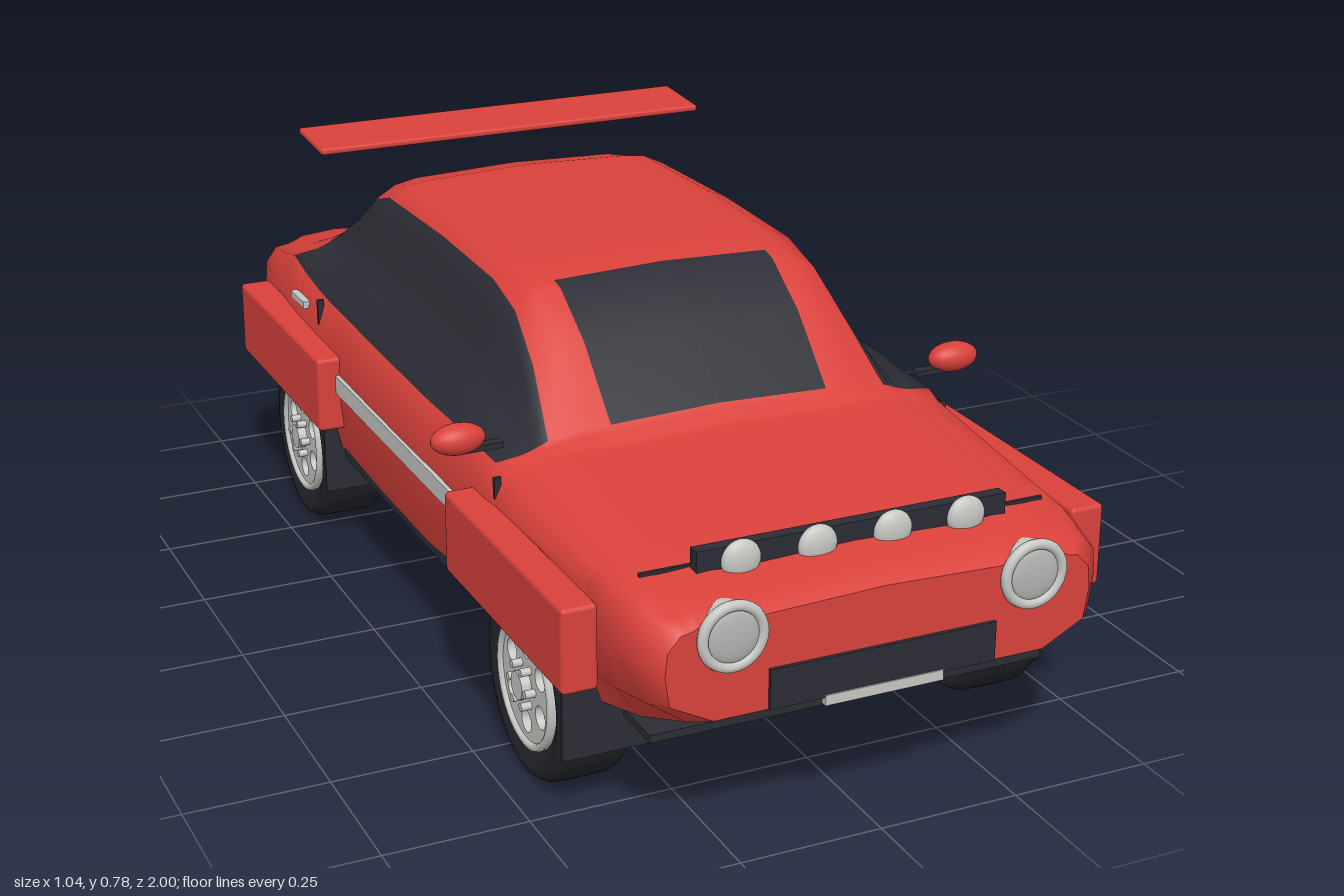
import * as THREE from 'three';
import { RoundedBoxGeometry } from 'three/addons/geometries/RoundedBoxGeometry.js';

const mat = (name, color, side = THREE.FrontSide) => {
  const m = new THREE.MeshStandardMaterial({ color, side });
  m.name = name;
  return m;
};

// Body stations: z, top y, half width, window base y, window top y
const KEYS = [
  [0.985, 0.420, 0.375, 0.405, 0.413],
  [0.960, 0.438, 0.400, 0.422, 0.431],
  [0.880, 0.454, 0.415, 0.436, 0.447],
  [0.450, 0.490, 0.435, 0.466, 0.484],
  [0.410, 0.515, 0.440, 0.475, 0.497],
  [0.300, 0.625, 0.442, 0.477, 0.590],
  [0.200, 0.690, 0.445, 0.480, 0.655],
  [0.100, 0.713, 0.447, 0.480, 0.682],
  [-0.15, 0.718, 0.447, 0.483, 0.688],
  [-0.44, 0.712, 0.445, 0.487, 0.680],
  [-0.52, 0.695, 0.443, 0.490, 0.655],
  [-0.61, 0.640, 0.440, 0.497, 0.588],
  [-0.69, 0.577, 0.435, 0.505, 0.535],
  [-0.75, 0.528, 0.430, 0.490, 0.510],
  [-0.82, 0.492, 0.420, 0.472, 0.484],
  [-0.92, 0.477, 0.405, 0.450, 0.467],
  [-0.955, 0.452, 0.385, 0.425, 0.440],
];
const WHEEL_Z = [0.606, -0.568], WHEEL_Y = 0.166, ARCH = 0.186;
const { lerp, clamp, smoothstep } = THREE.MathUtils;

function sample(z) {
  let i = 0;
  while (i < KEYS.length - 2 && z < KEYS[i + 1][0]) i++;
  const t = (KEYS[i][0] - z) / (KEYS[i][0] - KEYS[i + 1][0]);
  return KEYS[i].map((v, k) => lerp(v, KEYS[i + 1][k], t));
}

// Right half of a cross-section, from sill to roof centre
function halfSection(z) {
  const [, yt, w, ys, yg] = sample(z);
  const end = clamp((Math.abs(z) - 0.7) / 0.28, 0, 1) ** 2;
  const wb = w - 0.022 - 0.06 * end;
  let yb = 0.206 + 0.044 * end;
  for (const wz of WHEEL_Z) {
    const d = Math.abs(z - wz);
    if (d < ARCH) yb = Math.max(yb, WHEEL_Y + Math.sqrt(ARCH * ARCH - d * d));
  }
  const belt = Math.min(0.42, ys - 0.025);
  const xs = w - 0.026, xg = lerp(0.32, 0.29, smoothstep(yt, 0.5, 0.7));
  const glass = (a, b) => [lerp(xs, xg, a), lerp(ys, yg, b)];
  return [[wb, yb], [w - 0.008, lerp(yb, belt, 0.3)], [w, lerp(yb, belt, 0.7)], [w - 0.004, belt],
    [xs, ys], glass(0.46, 0.23), glass(0.69, 0.5), glass(0.86, 0.8), [xg, yg],
    [0.25, lerp(yg, yt, 0.6)], [0.205, yt - 0.007], [0, yt]];
}

function ring(z) {
  const h = halfSection(z);
  return [...h, ...h.slice(0, -1).reverse().map(([x, y]) => [-x, y])];
}

// Skin rings into a surface; pick(z, j) gives the material index of a cell
function skin(zs, rings, pick) {
  const n = rings[0].length, pos = [], cells = [[], []];
  rings.forEach((r, i) => r.forEach(([x, y]) => pos.push(x, y, zs[i])));
  for (let i = 0; i < zs.length - 1; i++) for (let j = 0; j < n - 1; j++) {
    const a = i * n + j, c = a + n;
    cells[pick((zs[i] + zs[i + 1]) / 2, j)].push(a, c, a + 1, a + 1, c, c + 1);
  }
  const g = new THREE.BufferGeometry();
  g.setAttribute('position', new THREE.Float32BufferAttribute(pos, 3));
  g.setIndex([...cells[0], ...cells[1]]);
  g.addGroup(0, cells[0].length, 0);
  g.addGroup(cells[0].length, cells[1].length, 1);
  g.computeVertexNormals();
  return g;
}

export function createModel() {
  const red = mat('red paint', 0xd9413b, THREE.DoubleSide);
  const dark = mat('dark trim', 0x2c2d35, THREE.DoubleSide);
  const rubber = mat('tyre rubber', 0x24252b);
  const silver = mat('silver', 0xc6c6c3);
  const lens = mat('lamp lens', 0xb4b4b2);
  const car = new THREE.Group();
  car.name = 'rallyCar';
  const add = (name, geo, m, x = 0, y = 0, z = 0, parent = car) => {
    const o = new THREE.Mesh(geo, m);
    o.name = name;
    o.position.set(x, y, z);
    parent.add(o);
    return o;
  };
  const box = (name, m, w, h, d, x, y, z) => add(name, new THREE.BoxGeometry(w, h, d), m, x, y, z);

  // Body shell with windows, wheel arches cut through the floor
  const extra = [0.17, -0.56];
  for (const wz of WHEEL_Z) for (let k = 0; k <= 14; k++) extra.push(wz + 0.1815 * Math.cos(k * Math.PI / 14));
  const zs = [...new Set([...KEYS.map(k => k[0]), ...extra])].sort((a, b) => b - a);
  const rings = zs.map(ring);
  add('bodyShell', skin(zs, rings, (z, j) => {
    const k = Math.min(j, 21 - j);
    const side = k >= 4 && k <= 7 && z < 0.41 && z > -0.69;
    const screen = k === 10 && ((z < 0.41 && z > 0.17) || (z < -0.56 && z > -0.75));
    return side || screen ? 1 : 0;
  }), [red, dark]);
  add('underside', skin(zs, rings.map(r => [r[22], r[0]]), () => 1), [red, dark]);
  const cap = z => new THREE.ShapeGeometry(new THREE.Shape(ring(z).map(p => new THREE.Vector2(...p))));
  add('nosePanel', cap(0.985), red, 0, 0, 0.985);
  add('tailPanel', cap(-0.955), red, 0, 0, -0.955).rotation.y = Math.PI;

  // Front details
  box('grille', dark, 0.4, 0.068, 0.009, 0, 0.286, 0.987);
  box('frontPlate', silver, 0.21, 0.018, 0.012, 0, 0.248, 0.988);
  box('splitter', dark, 0.71, 0.014, 0.1, 0, 0.185, 0.84);
  box('lampBar', dark, 0.55, 0.05, 0.022, 0, 0.46, 0.872);
  box('bonnetGap', dark, 0.72, 0.006, 0.006, 0, 0.452, 0.857);
  for (const x of [-0.2, -0.067, 0.067, 0.2]) {
    const lamp = add('spotLamp', new THREE.SphereGeometry(0.034, 24, 16), silver, x, 0.46, 0.885);
    lamp.scale.z = 0.45;
  }
  for (const s of [-1, 1]) {
    const shell = add('headlampHousing', new THREE.CylinderGeometry(0.052, 0.045, 0.05, 32), silver, s * 0.265, 0.39, 0.967);
    shell.rotation.x = Math.PI / 2;
    add('headlampRing', new THREE.TorusGeometry(0.051, 0.009, 10, 36), silver, s * 0.265, 0.39, 0.99);
    const glass = add('headlampLens', new THREE.SphereGeometry(0.045, 28, 16), lens, s * 0.265, 0.39, 0.99);
    glass.scale.z = 0.2;
  }

  // Rear details
  const wing = add('rearWing', new RoundedBoxGeometry(0.8, 0.013, 0.142, 2, 0.005), red, 0, 0.768, -0.58);
  wing.rotation.x = 0.06;
  box('rearPlate', silver, 0.21, 0.06, 0.008, 0, 0.31, -0.957);
  box('rearValance', dark, 0.62, 0.03, 0.11, 0, 0.185, -0.845);
  const pipe = [[0.016, -0.06], [0.024, -0.06], [0.024, 0.06], [0.016, 0.06], [0.016, -0.06]];
  add('exhaust', new THREE.LatheGeometry(pipe.map(p => new THREE.Vector2(...p)), 20), silver, 0.235, 0.227, -0.94)
    .rotation.x = -Math.PI / 2;
  add('exhaustCore', new THREE.CircleGeometry(0.017, 20), dark, 0.235, 0.227, -0.98).rotation.y = Math.PI;

  for (const s of [-1, 1]) {
    box('tailLampRecess', dark, 0.13, 0.04, 0.01, s * 0.205, 0.4, -0.956);
    box('tailLamp', red, 0.1, 0.016, 0.012, s * 0.21, 0.392, -0.957);

    // Flank details
    for (const z of [0.605, -0.57])
      add('wheelFlare', new RoundedBoxGeometry(0.062, 0.146, 0.5, 2, 0.008), red, s * 0.456, 0.343, z);
    box('sideStripe', silver, 0.008, 0.036, 0.68, s * 0.448, 0.363, 0.015);
    box('doorHandle', silver, 0.014, 0.014, 0.08, s * 0.434, 0.45, -0.58);
    box('doorGapRear', dark, 0.012, 0.065, 0.008, s * 0.43, 0.452, -0.465);
    box('doorGapFront', dark, 0.012, 0.045, 0.008, s * 0.424, 0.44, 0.44);
    box('sill', dark, 0.06, 0.03, 0.76, s * 0.395, 0.207, 0.02);

    // Mirrors
    box('mirrorStalk', dark, 0.07, 0.01, 0.02, s * 0.43, 0.5, 0.39);
    const mirror = add('mirror', new THREE.SphereGeometry(1, 24, 16), red, s * 0.472, 0.52, 0.39);
    mirror.scale.set(0.048, 0.027, 0.028);
    const face = add('mirrorGlass', new THREE.SphereGeometry(1, 20, 12), silver, s * 0.472, 0.52, 0.372);
    face.scale.set(0.036, 0.02, 0.014);
    box('rearMudFlap', dark, 0.17, 0.13, 0.008, s * 0.34, 0.188, -0.786);
  }
  for (const z of WHEEL_Z) box('sideMudFlap', dark, 0.23, 0.15, 0.008, -0.34, 0.187, z + 0.17);

  // Wheels, built with the outer face towards +x
  const tyreProfile = [[0.108, -0.05], [0.14, -0.064], [0.157, -0.06], [0.165, -0.045], [0.166, 0],
    [0.165, 0.045], [0.157, 0.06], [0.14, 0.064], [0.108, 0.05]].map(p => new THREE.Vector2(...p));
  const rimShape = new THREE.Shape().absarc(0, 0, 0.112, 0, Math.PI * 2);
  for (let k = 0; k < 6; k++) {
    const a = (k + 0.5) * Math.PI / 3;
    rimShape.holes.push(new THREE.Path().absarc(0.068 * Math.cos(a), 0.068 * Math.sin(a), 0.02, 0, Math.PI * 2, true));
  }
  const rimGeo = new THREE.ExtrudeGeometry(rimShape, { depth: 0.014, bevelEnabled: false, curveSegments: 24 });
  const axle = (name, m, r, len, x, y, z, g) =>
    add(name, new THREE.CylinderGeometry(r, r, len, 28), m, x, y, z, g).rotation.z = -Math.PI / 2;
  for (const z of WHEEL_Z) for (const s of [-1, 1]) {
    const wheel = new THREE.Group();
    wheel.name = 'wheel';
    wheel.position.set(s * 0.387, WHEEL_Y, z);
    if (s < 0) wheel.rotation.y = Math.PI;
    car.add(wheel);
    add('tyre', new THREE.LatheGeometry(tyreProfile, 48), rubber, 0, 0, 0, wheel).rotation.z = -Math.PI / 2;
    axle('wheelWell', dark, 0.109, 0.08, 0, 0, 0, wheel);
    add('rim', rimGeo, silver, 0.044, 0, 0, wheel).rotation.y = Math.PI / 2;
    add('rimLip', new THREE.TorusGeometry(0.106, 0.007, 8, 40), silver, 0.059, 0, 0, wheel).rotation.y = Math.PI / 2;
    axle('hub', silver, 0.024, 0.03, 0.06, 0, 0, wheel);
    for (let k = 0; k < 6; k++) {
      const a = k * Math.PI / 3;
      axle('wheelBolt', silver, 0.007, 0.024, 0.064, 0.036 * Math.sin(a), 0.036 * Math.cos(a), wheel);
    }
    axle('brakeDisc', silver, 0.1, 0.012, -0.05, 0, 0, wheel);
    axle('brakeHub', dark, 0.05, 0.014, -0.054, 0, 0, wheel);
    add('brakeCaliper', new THREE.BoxGeometry(0.02, 0.05, 0.025), red, -0.054, 0.02, 0.055, wheel);
  }
  return car;
}
